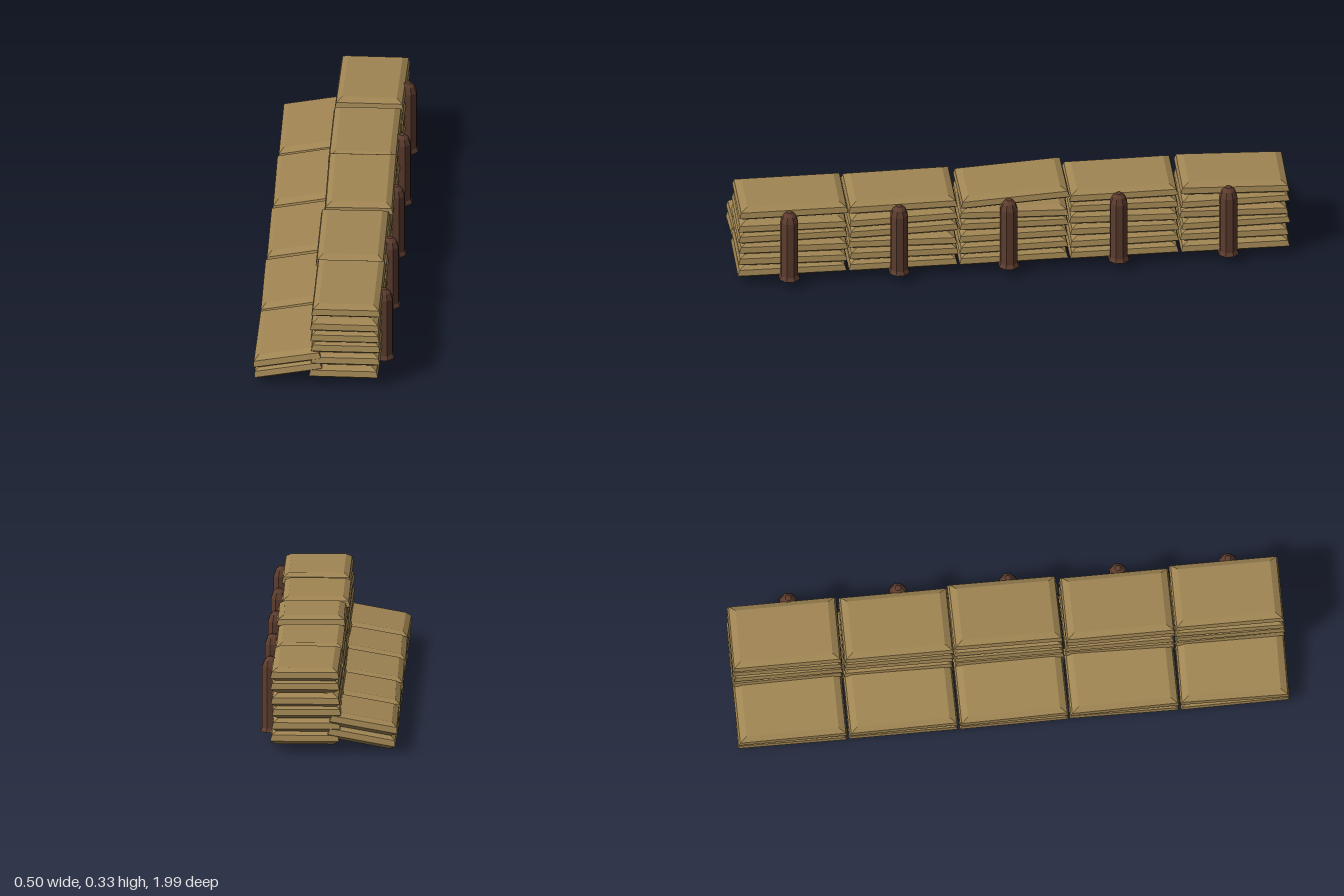
import * as THREE from 'three';

const cloth = new THREE.MeshStandardMaterial({ color: 0xa08553, flatShading: true });
const wood = new THREE.MeshStandardMaterial({ color: 0x5c3c2e, flatShading: true });

// Small repeatable variation in [-1, 1]
let seed = 7;
function vary() {
  seed = (seed * 16807) % 2147483647;
  return (seed / 2147483647) * 2 - 1;
}

// Flat bag: stacked rectangular loops with sloping edges
function bagGeometry(width, length) {
  const levels = [[-0.024, 0.024], [-0.009, 0], [0.012, 0.006], [0.025, 0.03]]; // [y, inset]
  const positions = [], index = [];
  for (const [y, inset] of levels) {
    const x = width / 2 - inset * 0.85, z = length / 2 - inset;
    positions.push(-x, y, z, x, y, z, x, y, -z, -x, y, -z);
  }
  for (let l = 0; l < levels.length - 1; l++) {
    for (let k = 0; k < 4; k++) {
      const a = l * 4 + k, b = l * 4 + (k + 1) % 4;
      index.push(a, b, b + 4, a, b + 4, a + 4);
    }
  }
  const t = (levels.length - 1) * 4;
  index.push(t, t + 1, t + 2, t, t + 2, t + 3, 0, 2, 1, 0, 3, 2);
  const geometry = new THREE.BufferGeometry();
  geometry.setAttribute('position', new THREE.Float32BufferAttribute(positions, 3));
  geometry.setIndex(index);
  geometry.computeVertexNormals();
  return geometry;
}

export function createModel() {
  const model = new THREE.Group();
  const bag = bagGeometry(0.247, 0.392);

  function addBag(parent, name, x, y, z, rx, ry, rz) {
    const mesh = new THREE.Mesh(bag, cloth);
    mesh.name = name;
    mesh.position.set(x, y, z);
    mesh.rotation.set(rx, ry, rz);
    parent.add(mesh);
  }

  // Tall wall: six layers of five bags
  const wall = new THREE.Group();
  wall.name = 'bagWall';
  const topPitch = [0.003, 0.008, 0.05, 0.005, -0.03];
  const topY = [0.3, 0.295, 0.303, 0.291, 0.291];
  for (let layer = 0; layer < 6; layer++) {
    for (let i = 0; i < 5; i++) {
      const top = layer === 5, bottom = layer === 0;
      const x = 0.08 + vary() * 0.004;
      const y = top ? topY[i] : 0.055 + layer * 0.047 + (bottom ? 0 : vary() * 0.003);
      const rx = top ? topPitch[i] : bottom ? 0 : vary() * 0.022;
      addBag(wall, 'wallBag', x, y, 0.797 - i * 0.3985 + vary() * 0.003, rx, vary() * 0.016, 0);
    }
  }
  model.add(wall);

  // Low sloping step: two layers leaning against the wall
  const step = new THREE.Group();
  step.name = 'bagStep';
  for (let layer = 0; layer < 2; layer++) {
    for (let i = 0; i < 5; i++) {
      const first = layer === 0 && i === 0;
      const rx = first ? -0.04 : vary() * 0.008;
      addBag(step, 'stepBag', -0.124 - layer * 0.003, (first ? 0.055 : 0.06) + layer * 0.045,
        0.795 - i * 0.3985, rx, vary() * 0.014, 0.18);
    }
  }
  model.add(step);

  // Posts with a flared foot and a rounded head
  const profile = [[0, 0.038], [0.04, 0.038], [0.033, 0.052], [0.033, 0.275],
    [0.024, 0.298], [0.011, 0.311], [0, 0.313]].map(([r, y]) => new THREE.Vector2(r, y));
  const postGeometry = new THREE.LatheGeometry(profile, 8, Math.PI / 8);
  for (let i = 0; i < 5; i++) {
    const post = new THREE.Mesh(postGeometry, wood);
    post.name = 'post';
    post.position.set(0.211, 0, 0.812 - i * 0.396);
    model.add(post);
  }
  return model;
}
